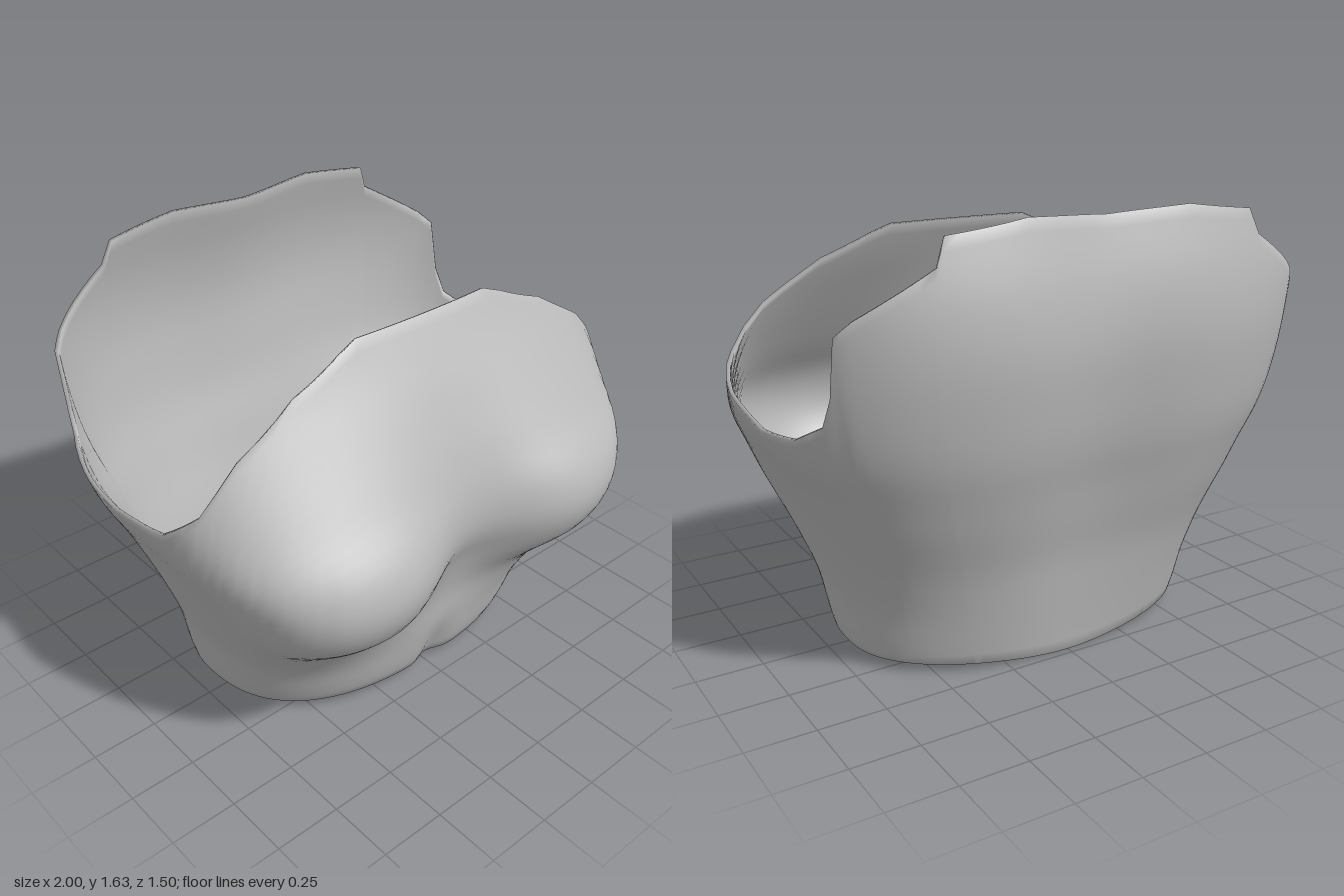
import * as THREE from 'three';

const { lerp, smoothstep, degToRad } = THREE.MathUtils;

const ROWS = 36;          // rings from hem to top edge
const THICKNESS = 0.015;
const AXIS_Z = -0.06;     // depth of the body's vertical axis

// Body sections by height: half width, front z, back depth, front squareness, cleft depth
const heights = [0, .08, .25, .41, .57, .71, .85, 1, 1.22, 1.4, 1.64];
const sections = new THREE.CubicInterpolant(heights, new Float32Array([
  .685, .415, .472, 2.4, 0,
  .705, .45, .49, 2.5, 0,
  .73, .49, .53, 3, 0,
  .78, .57, .57, 3.7, .06,
  .84, .725, .625, 4.2, .17,
  .90, .78, .672, 4, .17,
  .97, .755, .715, 3.5, .14,
  1.015, .65, .745, 3, .07,
  1.05, .505, .77, 2.5, .02,
  1.08, .39, .755, 2.3, 0,
  1.08, .26, .695, 2.6, 0,
]), 5);

// Top edge as [degrees from front centre, height]: bust, armhole, back
const topEdge = [
  [0, 1.49], [36.6, 1.49], [42.7, 1.46], [54, 1.38], [62.5, 1.24], [67.5, 1.08],
  [75.7, .97], [92, .91], [106, .94], [114, 1.01], [116.5, 1.11], [118.3, 1.31],
  [121.5, 1.36], [134.5, 1.51], [135.5, 1.6], [153.5, 1.635], [180, 1.62],
];

// Point on the outer surface: a superellipse section with a bust cleft and a spine furrow
function surfacePoint(degrees, y) {
  const [width, front, back, squareness, cleft] = sections.evaluate(y);
  const angle = degToRad(degrees);
  const s = Math.sin(angle), c = Math.cos(angle);
  const isFront = c > 0;
  const n = isFront ? squareness : lerp(2.3, 2.8, Math.min(1, y / 0.6));
  const depth = isFront ? front - AXIS_Z : back + AXIS_Z;
  const r = (Math.abs(s / width) ** n + Math.abs(c / depth) ** n) ** (-1 / n);
  const x = r * s;
  let z = AXIS_Z + r * c;
  const middle = Math.exp(-((x / 0.28) ** 2));
  if (isFront) {
    // small pinch above the hem at the front centre
    const pinch = 0.03 * Math.exp(-((x / 0.06) ** 2)) * (1 - smoothstep(y, 0.06, 0.28));
    z -= cleft * middle + pinch;
  } else {
    z += 0.05 * Math.min(1, y / 0.7) * middle;
  }
  return [x, y, z];
}

// Columns all the way round, subdivided between the corners of the top edge and mirrored
function makeColumns() {
  const half = [];
  for (let i = 0; i < topEdge.length - 1; i++) {
    const [a, ya] = topEdge[i], [b, yb] = topEdge[i + 1];
    const steps = Math.ceil((b - a) / 3);
    for (let k = 0; k < steps; k++) {
      half.push([lerp(a, b, k / steps), lerp(ya, yb, k / steps)]);
    }
  }
  const mirrored = half.slice(1).reverse().map(([angle, y]) => [360 - angle, y]);
  return [...half, topEdge.at(-1), ...mirrored];
}

// Joins rings of equal length into a surface; wrap also joins the last ring to the first
function loft(positions, rings, count, wrap) {
  const index = [];
  for (let j = 0; j < (wrap ? rings : rings - 1); j++) {
    const k = (j + 1) % rings;
    for (let i = 0; i < count; i++) {
      const n = (i + 1) % count;
      const a = j * count + i, b = j * count + n, c = k * count + n, d = k * count + i;
      index.push(a, b, c, a, c, d);
    }
  }
  const geometry = new THREE.BufferGeometry();
  geometry.setAttribute('position', new THREE.Float32BufferAttribute(positions, 3));
  geometry.setIndex(index);
  geometry.computeVertexNormals();
  return geometry;
}

function bodiceGeometry() {
  const columns = makeColumns();
  const count = columns.length;
  const outer = [];
  for (let j = 0; j <= ROWS; j++) {
    for (const [angle, top] of columns) {
      // the hem dips towards the back centre
      const hem = 0.04 * (1 - smoothstep(Math.min(angle, 360 - angle), 105, 180));
      outer.push(...surfacePoint(angle, lerp(hem, top, j / ROWS)));
    }
  }

  // lining: the outer rings moved inward, from top edge back to hem
  const normals = loft(outer, ROWS + 1, count, false).getAttribute('normal').array;
  const all = outer.slice();
  for (let j = ROWS; j >= 0; j--) {
    for (let i = 0; i < count * 3; i++) {
      const k = j * count * 3 + i;
      all.push(outer[k] - normals[k] * THICKNESS);
    }
  }
  return loft(all, 2 * (ROWS + 1), count, true);
}

export function createModel() {
  const group = new THREE.Group();
  group.name = 'straplessTop';
  const fabric = new THREE.MeshStandardMaterial({ color: 0xbababa });
  fabric.name = 'greyFabric';
  const bodice = new THREE.Mesh(bodiceGeometry(), fabric);
  bodice.name = 'bodice';
  group.add(bodice);
  return group;
}
